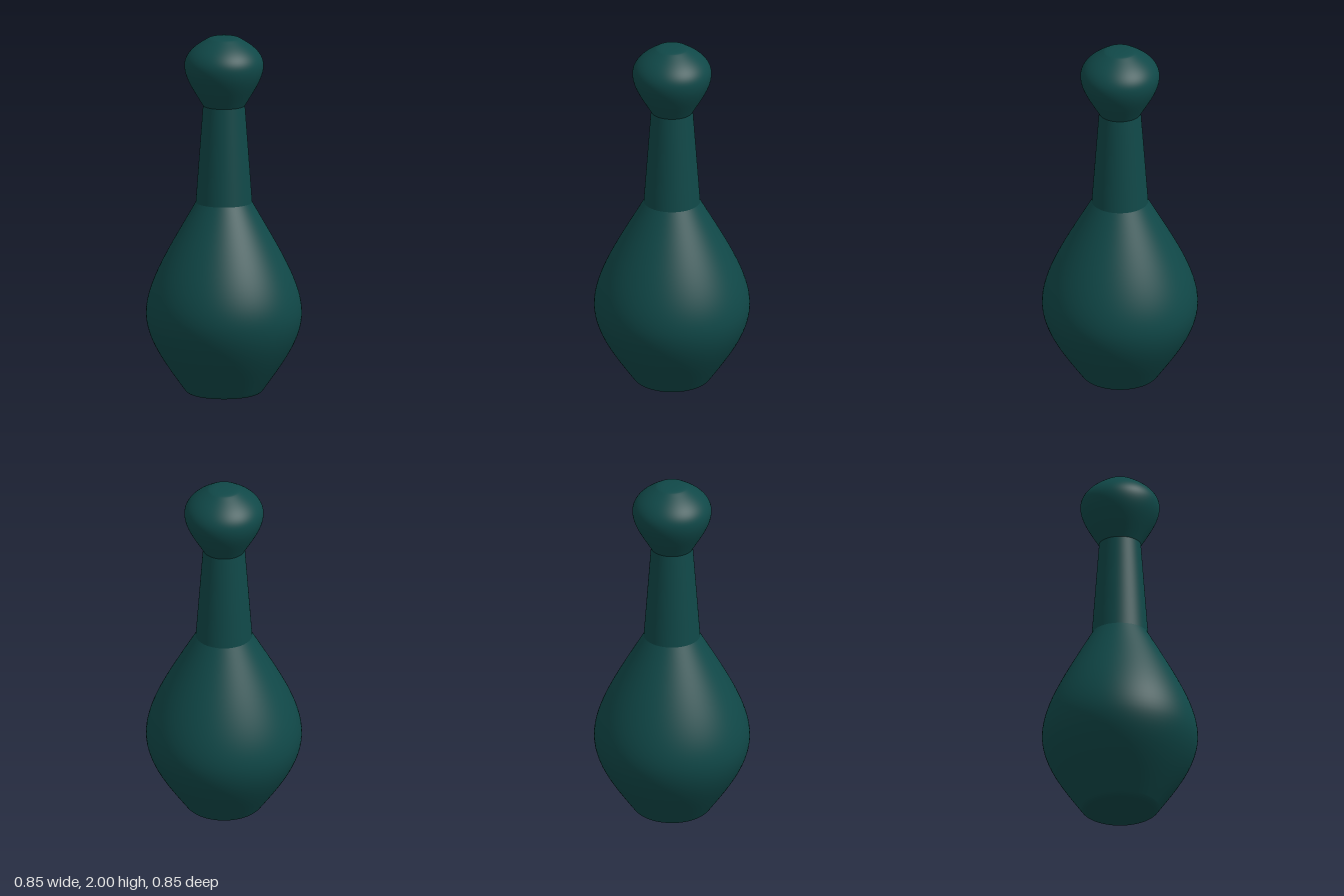
import * as THREE from 'three';

const V = (x, y) => new THREE.Vector2(x, y);
const bezier = (a, b, c, d) => new THREE.CubicBezierCurve(V(...a), V(...b), V(...c), V(...d));

// Samples a chain of curves, running from bottom to top, into one lathe profile
function profile(curves, steps = 16) {
  const pts = [];
  curves.forEach((c, i) => pts.push(...c.getPoints(steps).slice(i ? 1 : 0)));
  return pts;
}

export function createModel() {
  const group = new THREE.Group();
  const material = new THREE.MeshStandardMaterial({ color: 0x104848 });

  function turned(name, points) {
    const mesh = new THREE.Mesh(new THREE.LatheGeometry(points, 96), material);
    mesh.name = name;
    group.add(mesh);
  }

  // Pear-shaped body on a barely domed base with a small rounded rim
  turned('body', profile([
    bezier([0, 0], [0.06, 0], [0.12, 0.005], [0.175, 0.01]),
    bezier([0.175, 0.01], [0.195, 0.01], [0.207, 0.018], [0.217, 0.032]),
    bezier([0.217, 0.032], [0.33, 0.19], [0.427, 0.32], [0.427, 0.46]),
    bezier([0.427, 0.46], [0.427, 0.62], [0.3, 0.82], [0.155, 1.075]),
  ]));

  // Straight tapered neck, creased at both ends
  turned('neck', [V(0.155, 1.075), V(0.115, 1.615)]);

  // Bulbous head with a softly flattened crown
  turned('head', profile([
    bezier([0.115, 1.615], [0.165, 1.7], [0.217, 1.77], [0.217, 1.84]),
    bezier([0.217, 1.84], [0.217, 1.91], [0.145, 1.955], [0.09, 1.988]),
    bezier([0.09, 1.988], [0.07, 1.998], [0.035, 2], [0, 2]),
  ]));

  return group;
}
